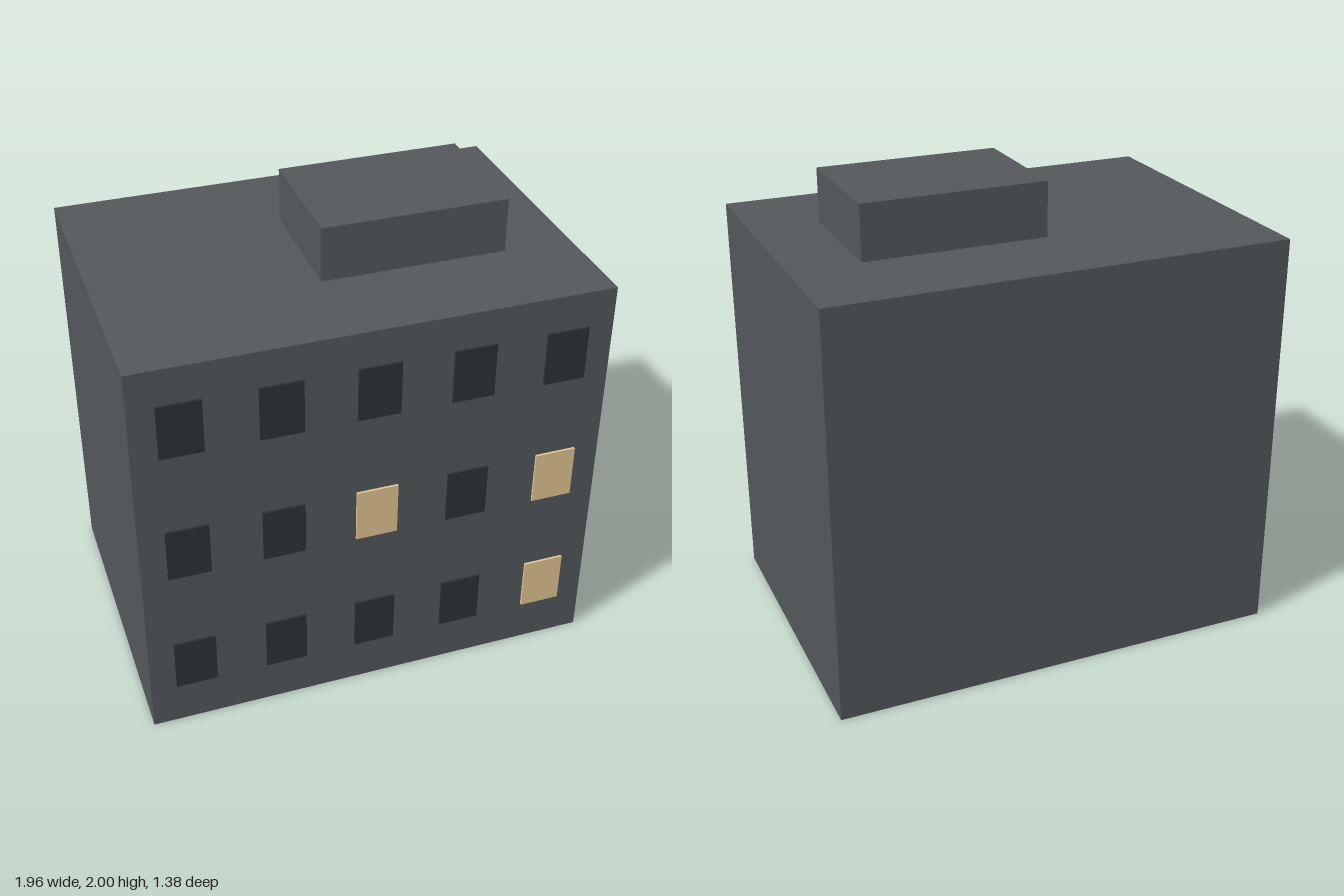
import * as THREE from 'three';

const wall = new THREE.MeshStandardMaterial({ color: 0x54585b });
const darkGlass = new THREE.MeshStandardMaterial({ color: 0x2d3235 });
const litGlass = new THREE.MeshStandardMaterial({ color: 0xe2c592 });

function box(name, size, position, material) {
  const mesh = new THREE.Mesh(new THREE.BoxGeometry(...size), material);
  mesh.name = name;
  mesh.position.set(...position);
  return mesh;
}

export function createModel() {
  const model = new THREE.Group();
  model.name = 'building';

  // Main block and the rooftop housing, set off-centre
  model.add(box('mainBlock', [1.96, 1.767, 1.37], [0, 0.8835, -0.005], wall));
  model.add(box('roofHousing', [0.785, 0.233, 0.55], [0.294, 1.8835, -0.005], wall));

  // Three floors of five windows, a few of them lit
  const lit = ['0-4', '1-2', '1-4'];
  const windows = new THREE.Group();
  windows.name = 'windows';
  for (let floor = 0; floor < 3; floor++) {
    for (let column = 0; column < 5; column++) {
      const isLit = lit.includes(`${floor}-${column}`);
      windows.add(box(
        isLit ? 'litWindow' : 'darkWindow',
        [0.176, 0.235, 0.02],
        [(column - 2) * 0.392, 0.316 + floor * 0.589, 0.68],
        isLit ? litGlass : darkGlass,
      ));
    }
  }
  model.add(windows);

  return model;
}
